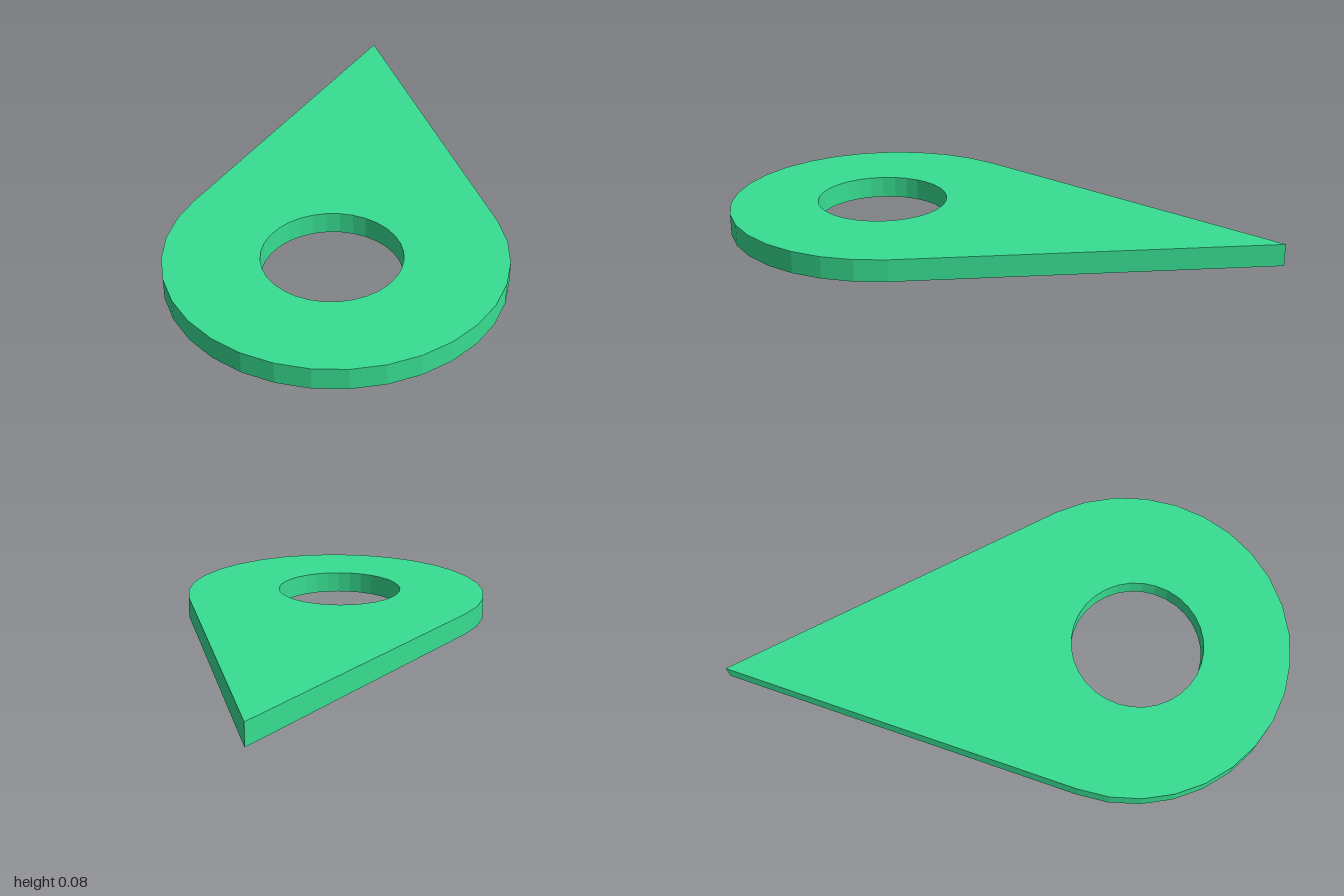
import * as THREE from 'three';

const THICKNESS = 0.078;

// Points along an arc, angles in degrees
function arcPoints(cx, cy, radius, start, end, segments) {
  return Array.from({ length: segments + 1 }, (_, i) => {
    const a = THREE.MathUtils.degToRad(start + ((end - start) * i) / segments);
    return new THREE.Vector2(cx + radius * Math.cos(a), cy + radius * Math.sin(a));
  });
}

export function createModel() {
  const group = new THREE.Group();
  group.name = 'teardropTag';

  // Teardrop outline: pointed tip at the back, faceted round end at the front
  const outline = new THREE.Shape([
    new THREE.Vector2(0, -1),
    ...arcPoints(0, 0.43, 0.57, -22, 204, 20),
  ]);

  // Round hole in the wide end
  const hole = arcPoints(-0.01, 0.457, 0.235, 0, 360, 32).slice(0, -1);
  outline.holes.push(new THREE.Path(hole.reverse()));

  // Lay the plate flat, with its underside on the ground
  const geometry = new THREE.ExtrudeGeometry(outline, { depth: THICKNESS, bevelEnabled: false });
  geometry.rotateX(Math.PI / 2);
  geometry.translate(0, THICKNESS, 0);

  const material = new THREE.MeshStandardMaterial({ color: 0x38de92, flatShading: true });
  const plate = new THREE.Mesh(geometry, material);
  plate.name = 'plate';
  group.add(plate);
  return group;
}
